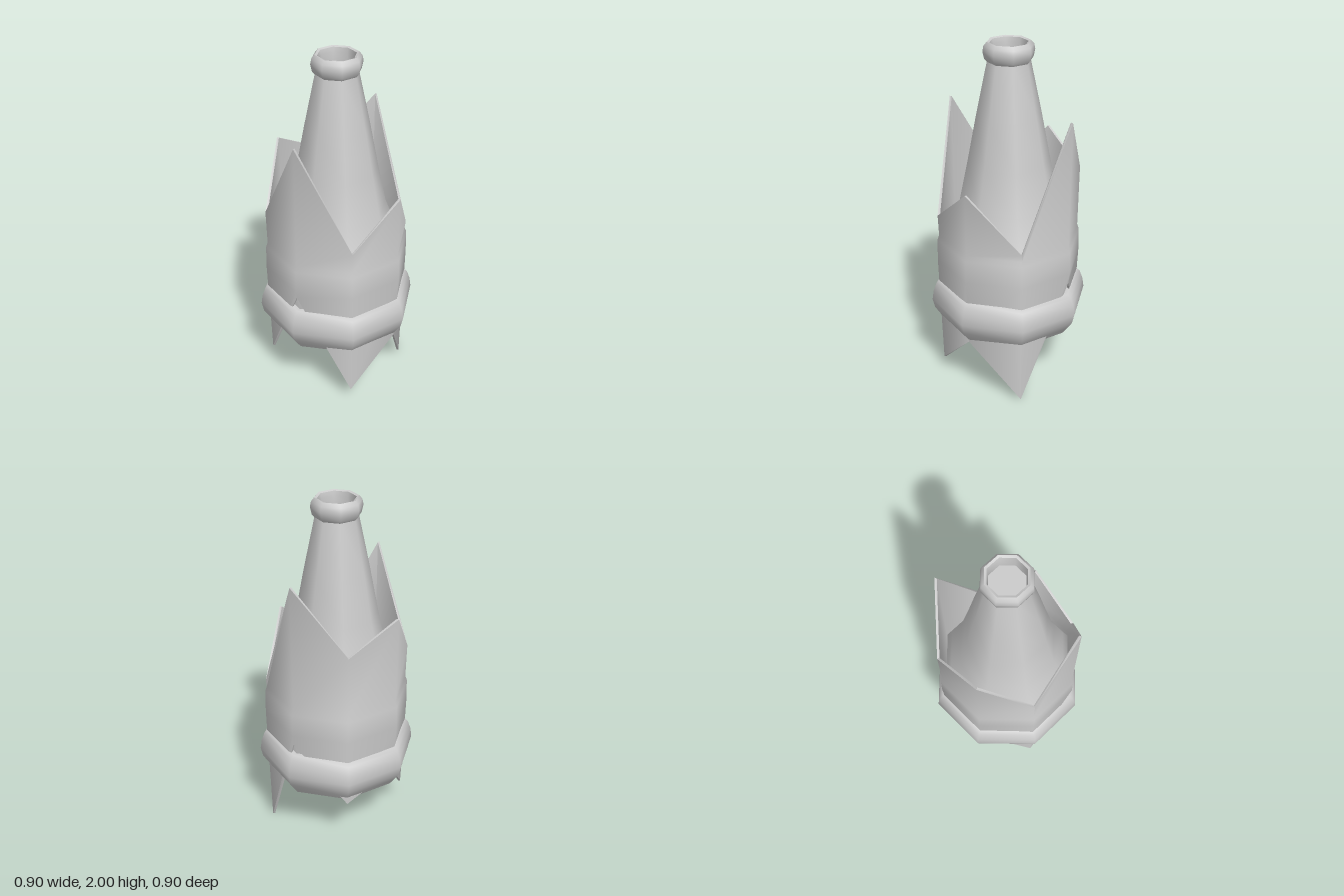
import * as THREE from 'three';
import { toCreasedNormals } from 'three/addons/utils/BufferGeometryUtils.js';

const SIDES = 8;
const material = new THREE.MeshStandardMaterial({ color: 0xcccccc });

// Eight-sided turned part from [radius, height] pairs, listed bottom to top
function turned(name, points, crease = 0.9) {
  const profile = points.map(([r, y]) => new THREE.Vector2(r, y));
  const geometry = toCreasedNormals(new THREE.LatheGeometry(profile, SIDES), crease);
  const mesh = new THREE.Mesh(geometry, material);
  mesh.name = name;
  return mesh;
}

// Jagged wall: each of the eight columns has its own top and bottom height
function jaggedShell(name, tops, bottoms) {
  const positions = [];
  const index = [];
  const rows = 8;
  for (let i = 0; i < SIDES; i++) {
    const angle = (i / SIDES) * Math.PI * 2; // starts at the front, turns to +x
    const top = tops[i];
    const bottom = bottoms[i];
    const foot = bottom > 0.6 ? 0.405 : 0.393;
    // Closed section: up the outside, then down the inside
    const section = [
      [foot, bottom], [0.412, 0.74], [0.41, 0.87], [0.4, 0.9], [0.405, top],
      [0.391, top], [0.386, 0.88], [foot - 0.012, bottom],
    ];
    for (const [r, y] of section) positions.push(r * Math.sin(angle), y, r * Math.cos(angle));
  }
  for (let i = 0; i < SIDES; i++) {
    const next = (i + 1) % SIDES;
    for (let j = 0; j < rows; j++) {
      const k = (j + 1) % rows;
      const a = i * rows + j, b = next * rows + j;
      const c = next * rows + k, d = i * rows + k;
      index.push(a, b, c, a, c, d);
    }
  }
  const geometry = new THREE.BufferGeometry();
  geometry.setAttribute('position', new THREE.Float32BufferAttribute(positions, 3));
  geometry.setIndex(index);
  const mesh = new THREE.Mesh(toCreasedNormals(geometry, 0.9), material);
  mesh.name = name;
  return mesh;
}

export function createModel() {
  const model = new THREE.Group();
  model.name = 'jaggedBottle';

  // Bottle body with shoulder and tapering neck
  model.add(turned('bottleBody', [
    [0.38, 0.5], [0.38, 0.84], [0.345, 0.93], [0.28, 1.1],
    [0.23, 1.34], [0.18, 1.6], [0.117, 1.9],
  ]));

  // Rounded lip, open at the top with a shallow floor
  model.add(turned('lip', [
    [0.115, 1.89], [0.132, 1.91], [0.141, 1.95], [0.135, 1.98], [0.118, 2.0],
    [0.105, 1.995], [0.1, 1.97], [0.1, 1.92], [0, 1.92],
  ]));

  // Thick base ring, closed underneath
  model.add(turned('baseRing', [
    [0, 0.36], [0.3, 0.35], [0.38, 0.345], [0.405, 0.38], [0.438, 0.43],
    [0.451, 0.485], [0.443, 0.54], [0.425, 0.59], [0.405, 0.61], [0.37, 0.61],
  ]));

  // Spiked sleeve around the body, pointing up and down
  model.add(jaggedShell('spikedSleeve',
    [1.62, 1.02, 1.26, 0.94, 1.63, 1.26, 1.41, 1.1],
    [0.7, 0.08, 0.35, 0.0, 0.68, 0.32, 0.45, 0.16]));

  return model;
}
